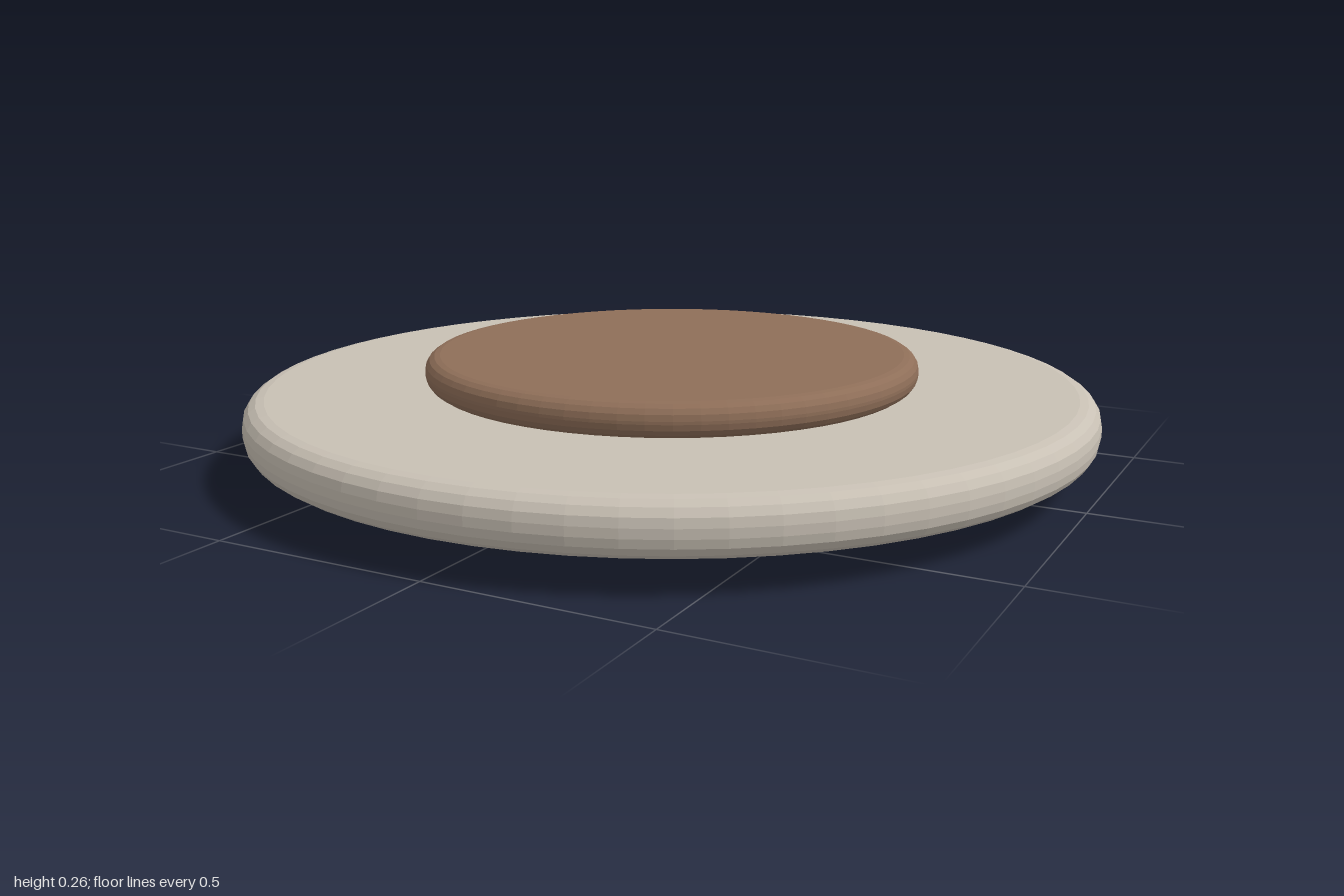
import * as THREE from 'three';

const SEGMENTS = 64;
const BEVEL_STEPS = 4;

// Round disc with rounded rims, spanning bottom to top
function disc(name, radius, bottom, top, bevel, material) {
  const profile = [new THREE.Vector2(0, bottom)];
  const corner = (cy, start) => {
    for (let i = 0; i <= BEVEL_STEPS; i++) {
      const a = start + (i / BEVEL_STEPS) * Math.PI / 2;
      profile.push(new THREE.Vector2(radius - bevel + Math.cos(a) * bevel, cy + Math.sin(a) * bevel));
    }
  };
  corner(bottom + bevel, -Math.PI / 2);
  corner(top - bevel, 0);
  profile.push(new THREE.Vector2(0, top));
  const mesh = new THREE.Mesh(new THREE.LatheGeometry(profile, SEGMENTS), material);
  mesh.name = name;
  return mesh;
}

export function createModel() {
  const stone = new THREE.MeshStandardMaterial({ color: 0xc8c0b4, flatShading: true });
  stone.name = 'pale stone';
  const brown = new THREE.MeshStandardMaterial({ color: 0x8e6e58, flatShading: true });
  brown.name = 'warm brown';

  const model = new THREE.Group();
  model.name = 'tieredDisc';
  model.add(
    disc('foot', 0.72, 0, 0.075, 0.034, stone),
    disc('plate', 1, 0.07, 0.19, 0.05, stone),
    disc('topPad', 0.585, 0.188, 0.265, 0.035, brown)
  );
  return model;
}
